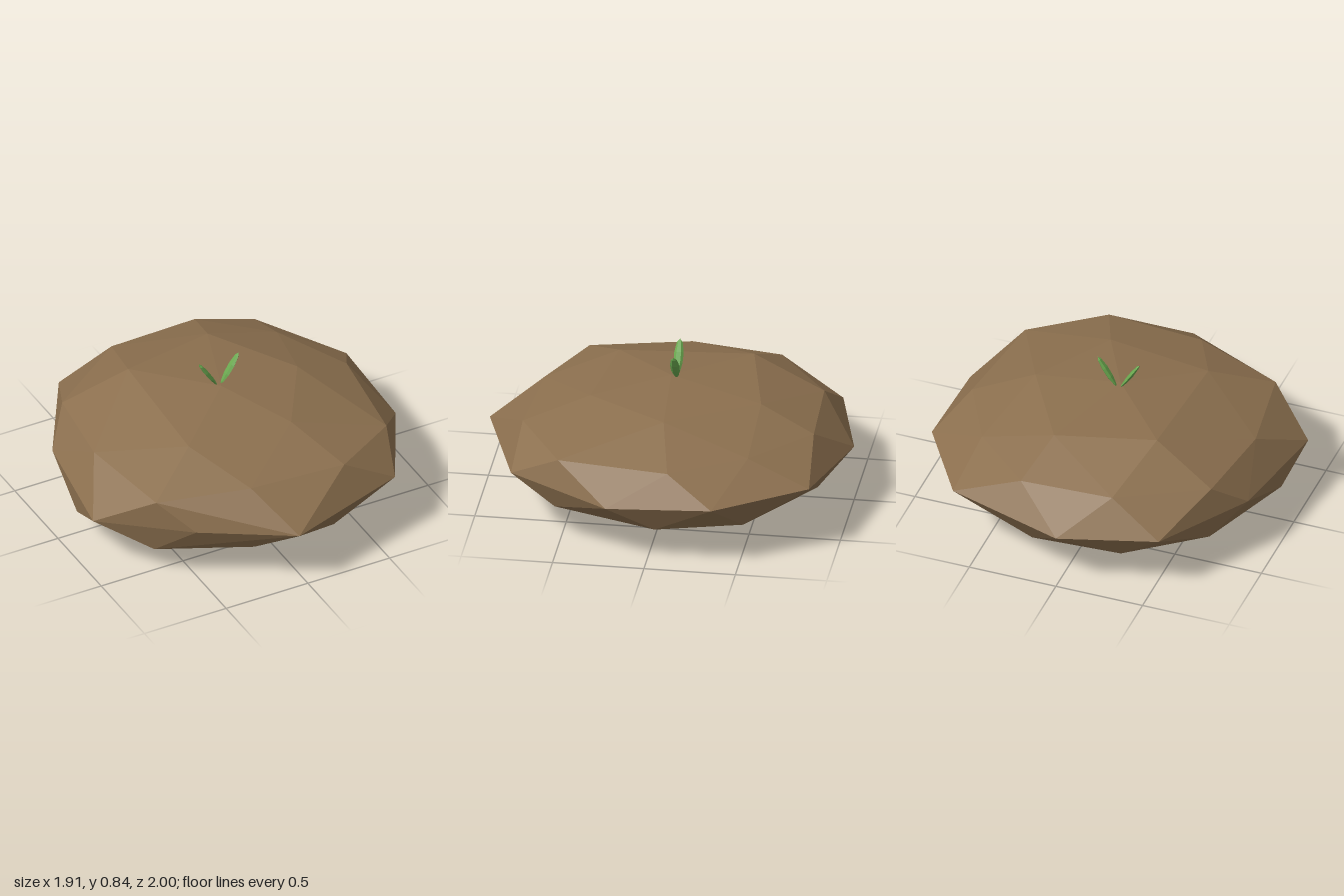
import * as THREE from 'three';
import { ConvexGeometry } from 'three/addons/geometries/ConvexGeometry.js';

export function createModel() {
  const model = new THREE.Group();
  const soil = new THREE.MeshStandardMaterial({ name: 'soil brown', color: 0x8b6f4e, flatShading: true });
  const green = new THREE.MeshStandardMaterial({ name: 'sprout green', color: 0x6aa84f, flatShading: true });

  // Irregular faceted mound: rings of corners from crown to base
  const rings = [
    [[0, 0.68, 0]],
    [[0.48, 0.63, -0.03], [0.21, 0.63, 0.41], [-0.38, 0.62, 0.34], [-0.36, 0.66, -0.4], [0.19, 0.635, -0.52]],
    [[0.74, 0.49, 0.51], [0.35, 0.52, 0.76], [-0.2, 0.52, 0.72], [-0.69, 0.48, 0.55], [-0.78, 0.5, 0],
      [-0.71, 0.49, -0.5], [-0.25, 0.52, -0.8], [0.27, 0.515, -0.82], [0.61, 0.51, -0.51], [0.82, 0.49, -0.1]],
    [[0.95, 0.32, 0.22], [0.65, 0.35, 0.78], [-0.05, 0.33, 1], [-0.53, 0.33, 0.71], [-0.96, 0.31, 0.33],
      [-0.86, 0.33, -0.33], [-0.54, 0.34, -0.86], [0, 0.32, -1], [0.65, 0.37, -0.85], [0.955, 0.35, -0.36]],
    [[0.72, 0.2, 0.53], [0.27, 0.17, 0.79], [-0.22, 0.19, 0.8], [-0.69, 0.16, 0.53], [-0.91, 0.18, 0.05],
      [-0.7, 0.17, -0.5], [-0.3, 0.16, -0.8], [0.2, 0.16, -0.83], [0.71, 0.16, -0.5], [0.88, 0.18, -0.04]],
    [[0.38, 0.03, 0.23], [-0.19, 0.08, 0.53], [-0.56, 0.08, 0], [-0.2, 0.04, -0.6], [0.38, 0.03, -0.25]],
    [[-0.05, 0, -0.07]],
  ];
  const corners = rings.flat().map((p) => new THREE.Vector3(...p));
  const mound = new THREE.Mesh(new ConvexGeometry(corners), soil);
  mound.name = 'soilMound';
  model.add(mound);

  // Pair of slim leaves, leaning outward from the crown
  const profile = [[0, 0], [0.012, 0.02], [0.024, 0.07], [0.026, 0.13], [0.016, 0.185], [0, 0.205]]
    .map(([r, y]) => new THREE.Vector2(r, y));
  const leafShape = new THREE.LatheGeometry(profile, 6).scale(0.5, 1, 1);
  const sprout = new THREE.Group();
  sprout.name = 'sprout';
  sprout.position.set(0, 0.67, -0.03);
  for (const side of [-1, 1]) {
    const leaf = new THREE.Mesh(leafShape, green);
    leaf.name = side > 0 ? 'leftLeaf' : 'rightLeaf';
    leaf.position.x = side * 0.01;
    leaf.rotation.z = -side * 0.57;
    sprout.add(leaf);
  }
  model.add(sprout);
  return model;
}
